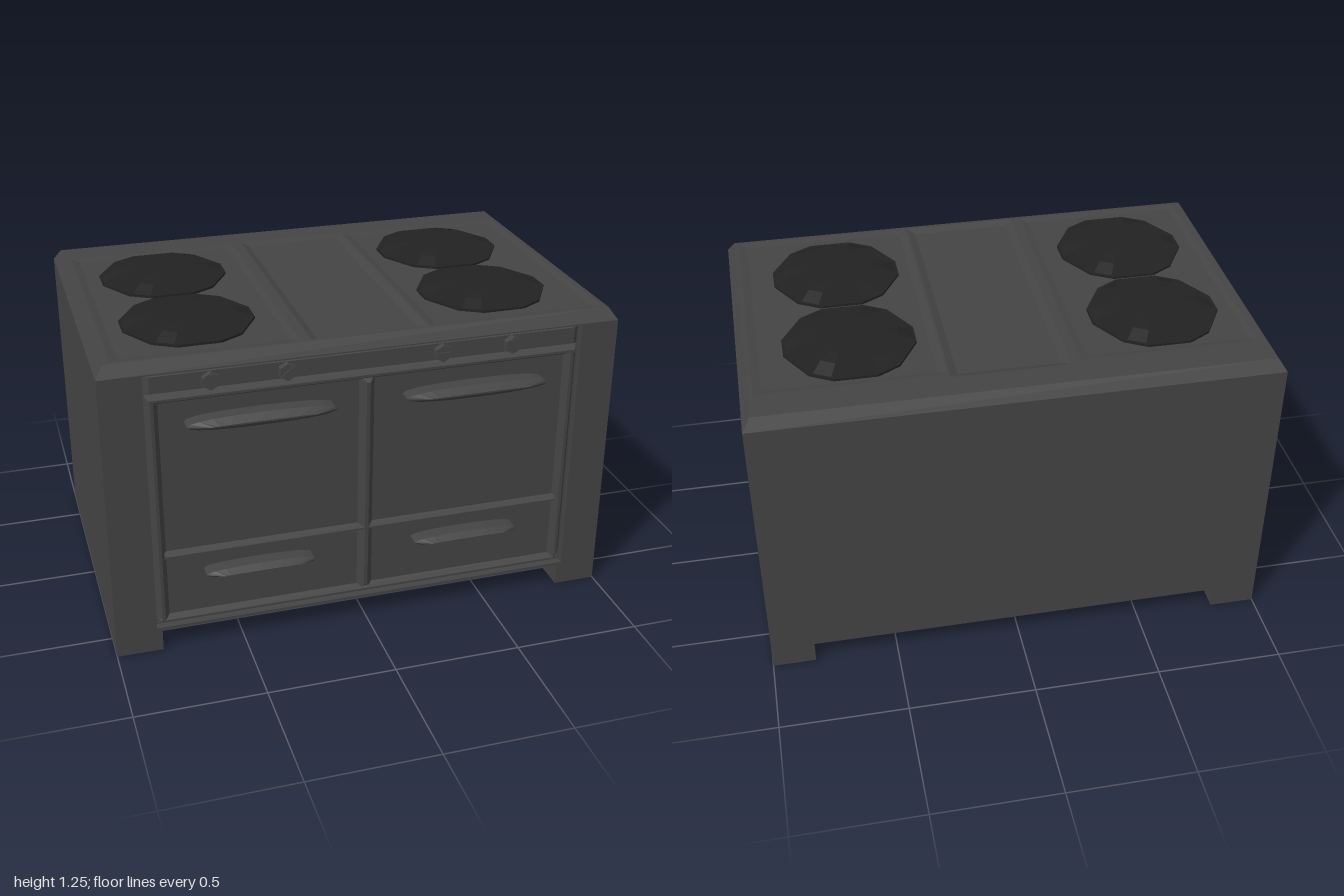
import * as THREE from 'three';

const enamel = new THREE.MeshStandardMaterial({ color: 0x444444, side: THREE.DoubleSide });
enamel.name = 'charcoal enamel';
const iron = new THREE.MeshStandardMaterial({ color: 0x222222, side: THREE.DoubleSide });
iron.name = 'black iron';

// box whose +z face is pulled in; skipFace (4 = +z, 5 = -z) leaves it open
function taperBox(w, h, d, ix, iy, skipFace = -1) {
  const g = new THREE.BoxGeometry(w, h, d);
  const p = g.attributes.position;
  for (let i = 0; i < p.count; i++) {
    if (p.getZ(i) > 0) {
      p.setX(i, Math.sign(p.getX(i)) * (w / 2 - ix));
      p.setY(i, Math.sign(p.getY(i)) * (h / 2 - iy));
    }
  }
  if (skipFace >= 0) {
    const idx = Array.from(g.index.array);
    idx.splice(skipFace * 6, 6);
    g.setIndex(idx);
    g.clearGroups();
  }
  g.computeVertexNormals();
  return g;
}

const rectPoints = (x0, x1, y0, y1) =>
  [[x0, y0], [x1, y0], [x1, y1], [x0, y1]].map(([x, y]) => new THREE.Vector2(x, y));

// rounded bar outline that narrows to a long front edge
function handleGeometry(w, h, d, tipX, tipY) {
  const g = new THREE.CylinderGeometry(1, 1, d, 20).toNonIndexed().rotateX(Math.PI / 2);
  const p = g.attributes.position;
  const bulge = (v, e) => Math.sign(v) * Math.abs(v) ** e;
  for (let i = 0; i < p.count; i++) {
    const front = p.getZ(i) > 0;
    p.setX(i, bulge(p.getX(i), 0.8) * w / 2 * (front ? tipX : 1));
    p.setY(i, bulge(p.getY(i), 0.9) * h / 2 * (front ? tipY : 1));
  }
  g.computeVertexNormals();
  return g;
}

// bent strip of iron, flat over the burner and dropping at the rim
function spokeGeometry() {
  const rows = [[0.02, 0.035, 0.006], [0.13, 0.034, 0.02], [0.185, 0.026, 0.03], [0.24, 0.003, 0.036]];
  const pos = [], idx = [];
  rows.forEach(([r, y, half], i) => {
    pos.push(r, y, -half, r, y, half);
    if (i) {
      const a = i * 2 - 2;
      idx.push(a, a + 1, a + 2, a + 1, a + 3, a + 2);
    }
  });
  const g = new THREE.BufferGeometry();
  g.setAttribute('position', new THREE.Float32BufferAttribute(pos, 3));
  g.setIndex(idx);
  const flat = g.toNonIndexed();
  flat.computeVertexNormals();
  return flat;
}

export function createModel() {
  const root = new THREE.Group();
  root.name = 'stove';
  const add = (name, geo, mat, x = 0, y = 0, z = 0, parent = root) => {
    const m = new THREE.Mesh(geo, mat);
    m.name = name;
    m.position.set(x, y, z);
    parent.add(m);
    return m;
  };

  // cabinet with side feet: solid rear part and a front frame with an opening
  const outline = () => new THREE.Shape(
    [[-1, 0], [-0.82, 0], [-0.82, 0.09], [0.83, 0.09], [0.83, 0], [1, 0], [1, 1.165], [-1, 1.165]]
      .map(([x, y]) => new THREE.Vector2(x, y)));
  add('cabinet', new THREE.ExtrudeGeometry(outline(), { depth: 1.275, bevelEnabled: false }), enamel, 0, 0, -0.68);
  const frame = outline();
  frame.holes.push(new THREE.Path(rectPoints(-0.84, 0.85, 0.1, 1.16)));
  add('frontFrame', new THREE.ExtrudeGeometry(frame, { depth: 0.03, bevelEnabled: false }), enamel, 0, 0, 0.595);

  // bevelled cooktop with three shallow pans
  const rim = taperBox(2, 1.305, 0.045, 0.03, 0.03, 4).rotateX(-Math.PI / 2);
  add('cooktopBevel', rim, enamel, 0, 1.1875, -0.0275);
  const top = new THREE.Shape(rectPoints(-0.97, 0.97, -0.595, 0.65));
  const pans = [[-0.94, -0.25, -0.52, 0.58, 0.006], [-0.21, 0.24, -0.54, 0.58, 0.012], [0.25, 0.95, -0.52, 0.58, 0.006]];
  for (const [x0, x1, z0, z1, d] of pans) {
    top.holes.push(new THREE.Path(rectPoints(x0, x1, -z1, -z0)));
    const pan = taperBox(x1 - x0, z1 - z0, d, 0.03, 0.03, 5).rotateX(Math.PI / 2);
    add('cooktopPan', pan, enamel, (x0 + x1) / 2, 1.21 - d / 2, (z0 + z1) / 2);
  }
  add('cooktop', new THREE.ShapeGeometry(top).rotateX(-Math.PI / 2), enamel, 0, 1.21, 0);

  // burners: twelve-sided plate with six bent spokes
  const plate = new THREE.Shape();
  for (let i = 0; i < 6; i++) {
    const a = i * Math.PI / 3;
    for (const s of [-0.05, 0.05]) {
      const x = 0.25 * Math.cos(a) - s * Math.sin(a), y = 0.25 * Math.sin(a) + s * Math.cos(a);
      if (i === 0 && s < 0) plate.moveTo(x, y); else plate.lineTo(x, y);
    }
  }
  const plateGeo = new THREE.ExtrudeGeometry(plate, { depth: 0.009, bevelEnabled: false }).rotateX(-Math.PI / 2);
  const spokeGeo = spokeGeometry();
  for (const x of [-0.605, 0.577]) {
    for (const z of [-0.238, 0.264]) {
      const burner = new THREE.Group();
      burner.name = 'burner';
      burner.position.set(x, 1.21, z);
      root.add(burner);
      add('burnerPlate', plateGeo, iron, 0, -0.006, 0, burner);
      for (let i = 0; i < 6; i++) {
        add('burnerSpoke', spokeGeo, iron, 0, 0, 0, burner).rotation.y = i * Math.PI / 3;
      }
    }
  }

  // raised ridges that frame the doors and drawers
  const ridge = (name, x0, x1, y0, y1) => {
    const inset = Math.min(x1 - x0, y1 - y0) * 0.38;
    add(name, taperBox(x1 - x0, y1 - y0, 0.026, inset, inset), enamel, (x0 + x1) / 2, (y0 + y1) / 2, 0.608);
  };
  ridge('sideRidge', -0.835, -0.785, 0.105, 1.075);
  ridge('sideRidge', 0.795, 0.845, 0.105, 1.075);
  ridge('topRidge', -0.835, 0.845, 1.035, 1.075);
  ridge('bottomRidge', -0.835, 0.845, 0.105, 0.14);
  ridge('middleRidge', -0.8, 0.81, 0.387, 0.42);
  ridge('centreRidge', -0.03, 0.03, 0.12, 1.05);

  // control panel and knobs
  add('controlPanel', taperBox(1.68, 0.08, 0.02, 0.02, 0.008), enamel, 0.005, 1.118, 0.605);
  const knobGeo = new THREE.CylinderGeometry(0.034, 0.036, 0.03, 6).toNonIndexed();
  knobGeo.computeVertexNormals();
  knobGeo.rotateX(Math.PI / 2);
  const knobs = [[-0.595, 0], [-0.312, -0.9], [0.285, Math.PI / 2], [0.565, 0.35]];
  for (const [x, turn] of knobs) {
    add('knob', knobGeo, enamel, x, 1.115, 0.622);
    add('knobGrip', new THREE.BoxGeometry(0.013, 0.056, 0.008), enamel, x, 1.115, 0.638).rotation.z = turn;
  }

  // door and drawer handles
  const handles = [
    ['doorHandle', -0.41, 0.953, 0.565, 0.052], ['doorHandle', 0.425, 0.953, 0.565, 0.052],
    ['drawerHandle', -0.428, 0.32, 0.43, 0.04], ['drawerHandle', 0.407, 0.32, 0.43, 0.04],
  ];
  for (const [name, x, y, w, h] of handles) {
    add(name, handleGeometry(w, h, 0.058, 1, 1), enamel, x, y, 0.621);
    add(name + 'Edge', handleGeometry(w, h, 0.026, 0.7, 0.12), enamel, x, y, 0.663);
  }
  return root;
}
